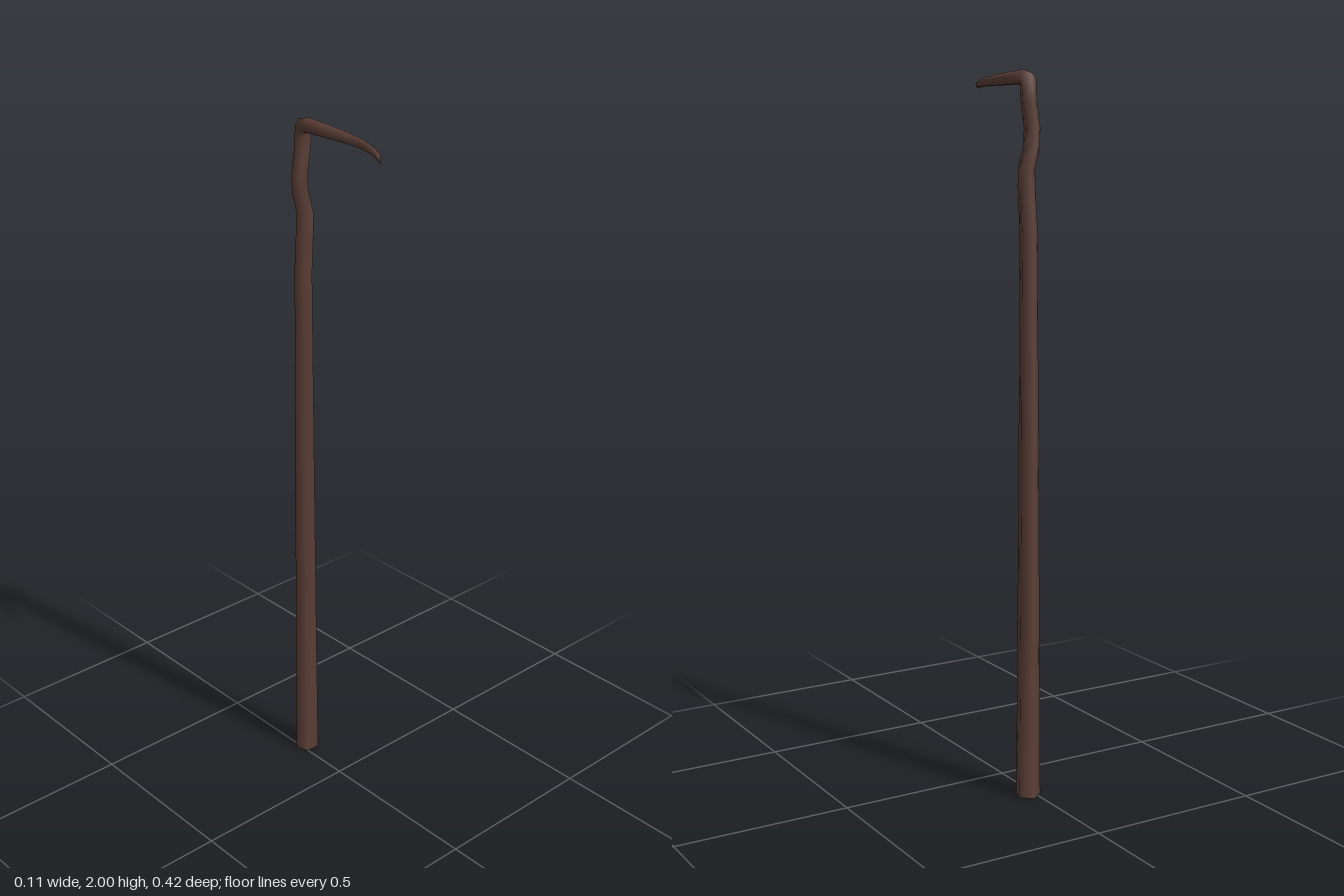
import * as THREE from 'three';

const SIDES = 5;
const WOOD = new THREE.MeshStandardMaterial({ color: 0x5d4037 });

// Pentagon rings: [x, y, z, radius, pitch, yaw] (degrees); pitch 0 rises, pitch 90 runs forward
const SHAFT = [
  [0.020, 0.00, -0.175, 0.036, 0, 0],
  [0.020, 0.50, -0.174, 0.032, 0, 0],
  [0.020, 1.00, -0.173, 0.029, 0, 0],
  [0.021, 1.40, -0.172, 0.026, 0, 0],
  [0.021, 1.57, -0.172, 0.0255, 0, 0],
  [0.028, 1.69, -0.172, 0.025, 0, 0],
  [0.028, 1.74, -0.171, 0.024, 0, 0],
  [0.012, 1.80, -0.171, 0.023, 0, 0],
  [0.011, 1.85, -0.171, 0.023, 0, 0],
  [0.021, 1.92, -0.170, 0.023, 0, 0],
  [0.022, 1.95, -0.170, 0.023, 0, 0],
  [0.021, 1.974, -0.165, 0.024, 45, 0],
];

// Blade rings along a flat underside: [x, z, radius, yaw]
const UNDERSIDE = 1.963;
const BLADE = [
  [0.021, -0.145, 0.0205, 0],
  [0.022, -0.07, 0.0185, 0],
  [0.022, 0.01, 0.015, 3],
  [0.016, 0.07, 0.0125, 12],
  [-0.002, 0.125, 0.0105, 22],
  [-0.021, 0.165, 0.0075, 30],
  [-0.055, 0.21, 0.0004, 36],
].map(([x, z, r, yaw]) => [x, UNDERSIDE + r * Math.cos(Math.PI / SIDES), z, r, 90, yaw]);

// Corner points of one ring, the first corner on the outside of the bend
function ringPoints([x, y, z, r, pitch, yaw]) {
  const p = THREE.MathUtils.degToRad(pitch), w = THREE.MathUtils.degToRad(yaw);
  const out = new THREE.Vector3(0, Math.sin(p), -Math.cos(p));
  const side = new THREE.Vector3(Math.cos(w), 0, Math.sin(w));
  return Array.from({ length: SIDES }, (_, k) => {
    const t = (k / SIDES) * Math.PI * 2;
    return new THREE.Vector3(x, y, z)
      .addScaledVector(out, r * Math.cos(t))
      .addScaledVector(side, r * Math.sin(t));
  });
}

// Smooth skin through a list of rings
function loft(rings) {
  const index = [];
  for (let i = 0; i < rings.length - 1; i++) {
    for (let k = 0; k < SIDES; k++) {
      const a = i * SIDES + k, b = i * SIDES + (k + 1) % SIDES;
      const c = a + SIDES, d = b + SIDES;
      index.push(a, c, b, b, c, d);
    }
  }
  const geometry = new THREE.BufferGeometry().setFromPoints(rings.flatMap(ringPoints));
  geometry.setIndex(index);
  geometry.computeVertexNormals();
  return geometry;
}

export function createModel() {
  const group = new THREE.Group();
  group.name = 'hookedStaff';

  // Crooked shaft, bend and curved blade in one continuous skin
  const staff = new THREE.Mesh(loft([...SHAFT, ...BLADE]), WOOD);
  staff.name = 'shaftAndHook';
  group.add(staff);

  // Flat foot of the shaft
  const [x, y, z, r] = SHAFT[0];
  const foot = new THREE.Mesh(new THREE.CircleGeometry(r, SIDES, -Math.PI / 2), WOOD);
  foot.name = 'foot';
  foot.rotation.x = Math.PI / 2;
  foot.position.set(x, y, z);
  group.add(foot);

  return group;
}
